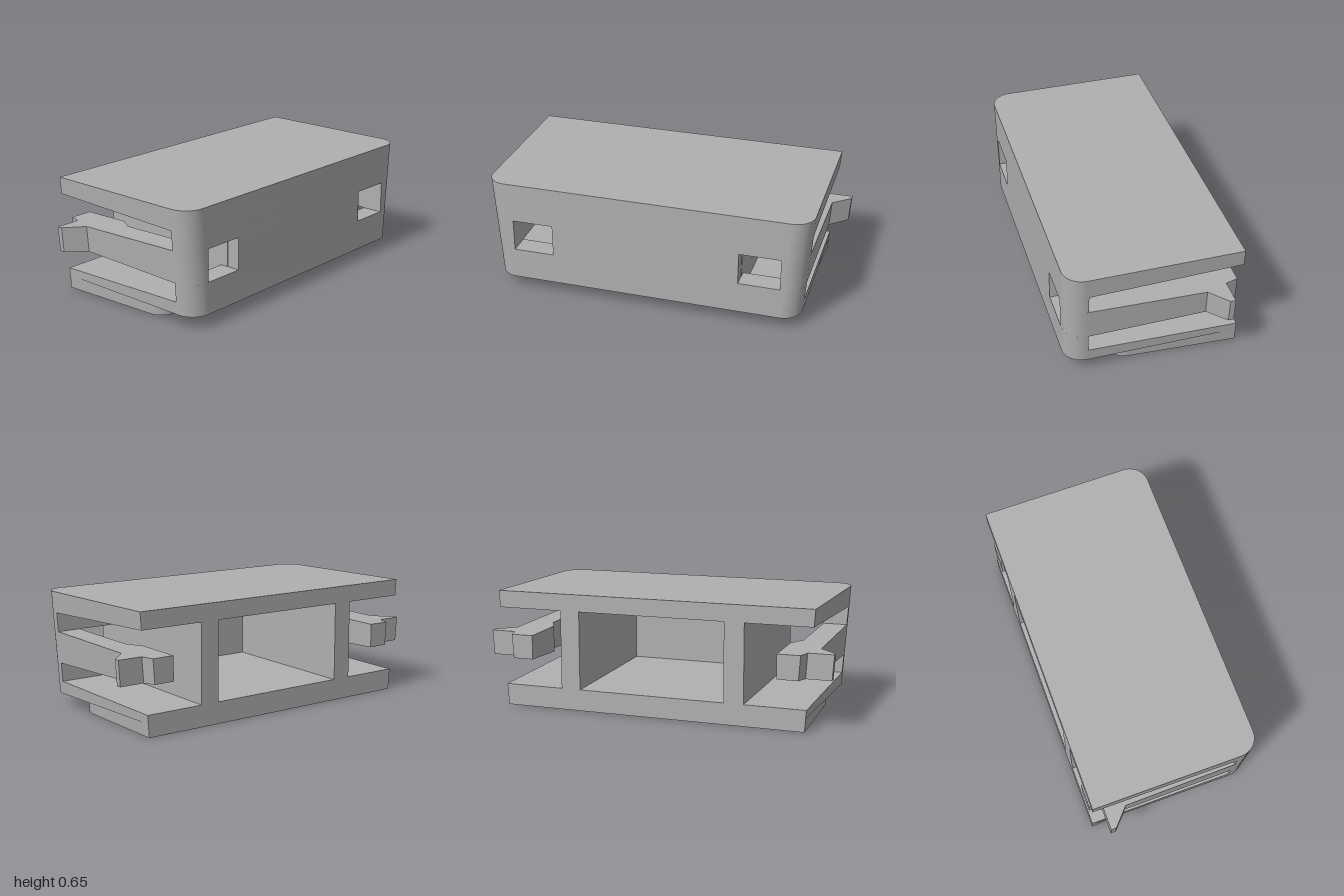
import * as THREE from 'three';
import { toCreasedNormals } from 'three/addons/utils/BufferGeometryUtils.js';

const BACK = -0.475, FRONT = 0.475, INNER = 0.355; // open end, closed end, inside of end wall
const TOP = 0.655, HALF = 0.912, RADIUS = 0.11;

// straight taper along the length, constant past the inside of the end wall
const taper = (a, b) => x => a + (b - a) * THREE.MathUtils.clamp((x - BACK) / (INNER - BACK), 0, 1);
const flat = y => () => y;

// plan outline extruded upwards; the outer flanks lean in towards the bottom
function slab(shape, bottom, top) {
  let geo = new THREE.ExtrudeGeometry(shape, { depth: 1, bevelEnabled: false, curveSegments: 10 });
  geo.rotateX(-Math.PI / 2);
  const p = geo.attributes.position;
  for (let i = 0; i < p.count; i++) {
    const x = p.getX(i), z = p.getZ(i);
    const y = THREE.MathUtils.lerp(bottom(x), top(x), p.getY(i));
    const lean = Math.abs(z) > 0.78 ? 0.07 * (y - TOP) * Math.sign(z) : 0;
    p.setXYZ(i, x, y, z + lean);
  }
  return toCreasedNormals(geo, 0.6);
}

// plan outline with two rounded corners at the closed end
function plan(x0, x1, half0, half1, r) {
  const s = new THREE.Shape();
  s.moveTo(x0, -half0);
  s.lineTo(x1 - r, -half1);
  s.absarc(x1 - r, -half1 + r, r, -Math.PI / 2, 0, false);
  s.absarc(x1 - r, half1 - r, r, 0, Math.PI / 2, false);
  s.lineTo(x0, half0);
  s.closePath();
  return s;
}

function polygon(points, side = 1) {
  return new THREE.Shape(points.map(([x, z]) => new THREE.Vector2(x, side * z)));
}

export function createModel() {
  const grey = new THREE.MeshStandardMaterial({ color: 0xb0b0b0 });
  grey.name = 'grey plastic';
  const group = new THREE.Group();
  group.name = 'clipHousing';
  const add = (name, shape, bottom, top) => {
    const mesh = new THREE.Mesh(slab(shape, bottom, top), grey);
    mesh.name = name;
    group.add(mesh);
  };

  // housing shell
  const body = plan(BACK, FRONT, HALF, HALF, RADIUS);
  const floorTop = taper(0.12, 0.145), roofBottom = taper(0.56, 0.536);
  add('roofPlate', body, roofBottom, flat(TOP));
  add('floorPlate', body, flat(0.073), floorTop);
  add('basePad', plan(BACK, 0.21, HALF, 0.88, 0.09), flat(0), flat(0.073));

  // end wall, with a window band between its lower and upper parts
  const endCap = plan(INNER, FRONT, HALF, HALF, RADIUS);
  add('endWallLower', endCap, flat(0.145), flat(0.25));
  add('endWallUpper', endCap, flat(0.43), flat(0.536));
  add('endWallMiddle', polygon([[INNER, -0.53], [FRONT, -0.53], [FRONT, 0.53], [INNER, 0.53]]),
    flat(0.25), flat(0.43));

  // rounded corner of the end wall, shared by the latch arm
  const corner = [];
  for (let i = 0; i <= 10; i++) {
    const a = (i / 10) * Math.PI / 2;
    corner.push([FRONT - RADIUS + RADIUS * Math.cos(a), HALF - RADIUS + RADIUS * Math.sin(a)]);
  }
  const arm = [
    [INNER, 0.76], [FRONT, 0.76], ...corner,
    [-0.285, 0.918], [-0.375, 1.017], [-0.405, 1.017], // hook
    [-0.405, 0.875], [BACK, 0.855], [BACK, 0.71],      // tip
    [-0.2, 0.71], [-0.11, 0.76],                       // inner face
  ];

  for (const side of [1, -1]) {
    const label = side > 0 ? 'front' : 'rear';
    add(label + 'LatchArm', polygon(arm, side), taper(0.272, 0.25), taper(0.408, 0.43));
    add(label + 'Partition',
      polygon([[BACK, 0.42], [0.4, 0.42], [0.4, 0.532], [BACK, 0.532]], side),
      floorTop, roofBottom);
  }
  return group;
}
